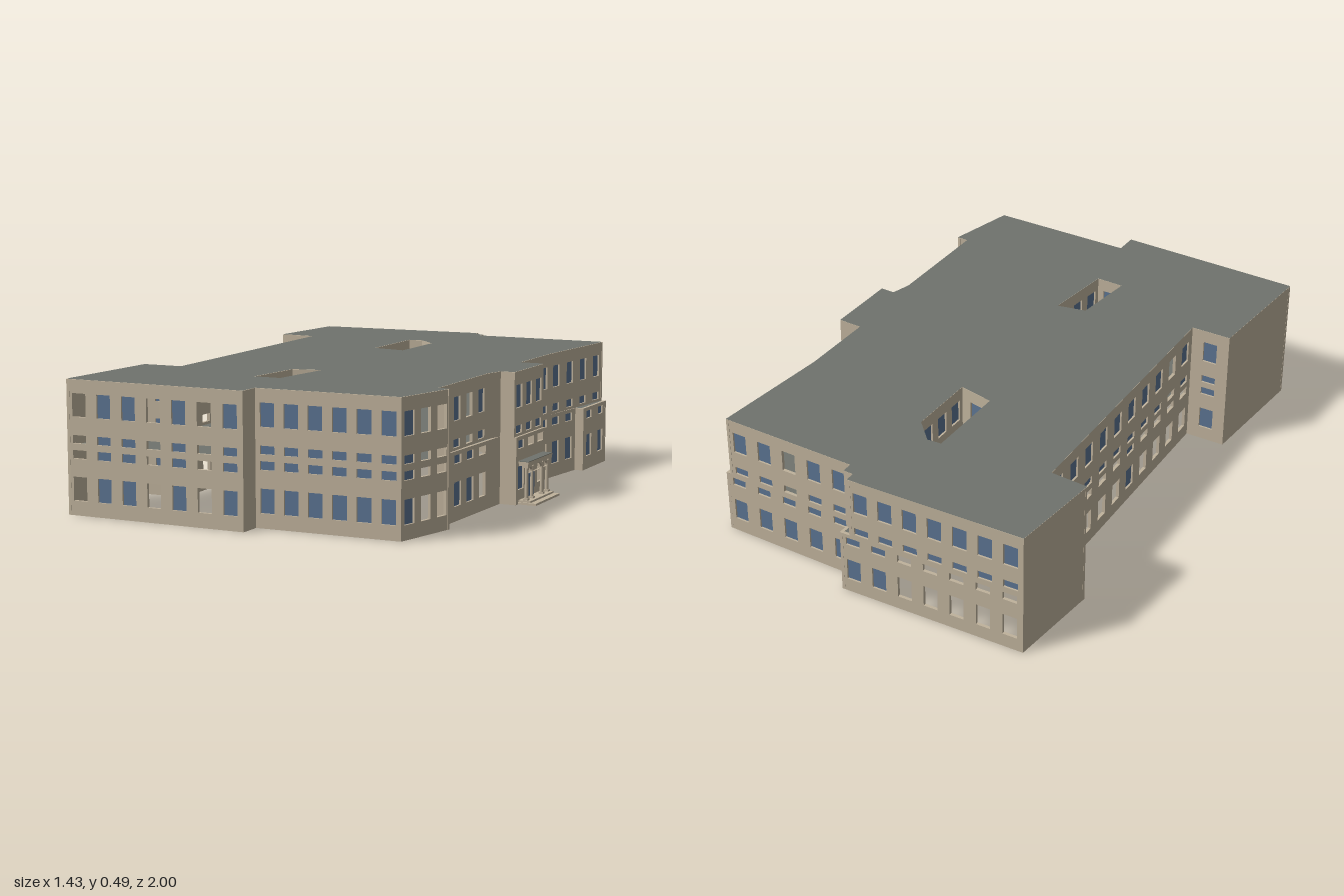
import * as THREE from 'three';

const material = (name, color, side = THREE.FrontSide) => {
  const m = new THREE.MeshStandardMaterial({ color, side });
  m.name = name;
  return m;
};

const T = 0.012;             // wall thickness
const MID = 0.25, TOP = 0.49; // floor slab and roof heights

// Window rows per storey: [bottom, top]
const LOWER_ROWS = [[0.053, 0.14], [0.205, 0.236]];
const UPPER_ROWS = [[0.26, 0.29], [0.355, 0.44]];

// Footprints: [x, z, window columns of the wall starting here]
// g = glazed, o = open, . = blank
const LOWER = [
  [-0.72, 0.995, 'oggogog'], [-0.005, 0.99, ''], [-0.005, 0.905, 'gggggg'],
  [0.545, 0.89, 'goo'], [0.605, 0.63, ''], [0.563, 0.63, 'oggo.'],
  [0.578, 0.125, ''], [0.642, 0.125, 'goo'], [0.642, -0.155, ''],
  [0.54, -0.155, 'oog'], [0.54, -0.45, 'gg'], [0.565, -0.67, ''],
  [0.6, -0.67, 'gg'], [0.6, -0.925, 'ggggg'], [0.04, -0.92, ''],
  [0.04, -1, 'ggooooo'], [-0.69, -0.96, ''], [-0.72, -0.595, 'g'],
  [-0.575, -0.59, 'ooooogoooo'], [-0.54, 0.515, 'g'], [-0.695, 0.52, ''],
];
const UPPER = [
  [-0.72, 0.995, 'oggogog'], [-0.005, 0.99, ''], [-0.005, 0.905, 'gggggg'],
  [0.545, 0.89, 'goo'], [0.605, 0.63, ''], [0.56, 0.63, '.gogg'],
  [0.558, 0.2, ''], [0.578, 0.125, ''], [0.633, 0.125, 'ggg'], [0.633, -0.155, ''],
  [0.54, -0.155, 'ggg'], [0.54, -0.45, 'gggg'], [0.582, -0.925, 'ggogg'],
  [0.04, -0.92, ''], [0.04, -0.96, ''], [0, -0.96, ''],
  [0, -0.998, 'ggggggg'], [-0.69, -0.96, ''], [-0.72, -0.595, 'g'],
  [-0.575, -0.59, 'ggggggggog'], [-0.54, 0.515, 'g'], [-0.695, 0.52, ''],
];
UPPER[5][2] = '.gog'; 

// Courtyards run the other way round so their walls face into the opening
const COURTYARDS = [
  [[-0.155, -0.645, ''], [-0.1, -0.65, 'g'], [-0.02, -0.57, 'ggg'], [-0.02, -0.3, 'g'], [-0.155, -0.325, 'ggg']],
  [[-0.13, 0.405, 'g'], [-0.02, 0.38, 'ggg'], [-0.05, 0.645, 'g'], [-0.155, 0.645, 'ggg']],
];

const rect = (C, x0, x1, y0, y1) => new C([
  new THREE.Vector2(x0, y0), new THREE.Vector2(x1, y0),
  new THREE.Vector2(x1, y1), new THREE.Vector2(x0, y1)]);

export function createModel() {
  const model = new THREE.Group();
  model.name = 'building';
  const stone = material('stone', 0xbfb29c);
  const roofing = material('roofing', 0x6f736d, THREE.DoubleSide);
  const glass = material('glass', 0x5b7391, THREE.DoubleSide);

  const add = (parent, name, geo, mat, x = 0, y = 0, z = 0) => {
    const m = new THREE.Mesh(geo, mat);
    m.name = name;
    m.position.set(x, y, z);
    parent.add(m);
    return m;
  };

  // One straight wall with window openings and recessed panes
  function wall(name, a, b, y0, y1, rows) {
    const dx = b[0] - a[0], dz = b[1] - a[1], len = Math.hypot(dx, dz);
    const g = new THREE.Group();
    g.name = name;
    g.position.set(a[0], 0, a[1]);
    g.rotation.y = Math.atan2(-dz, dx);
    const shape = rect(THREE.Shape, 0, len, y0, y1);
    const step = len / a[2].length, half = Math.min(0.028, step * 0.3);
    [...a[2]].forEach((kind, i) => {
      if (kind === '.') return;
      const u = (i + 0.5) * step;
      for (const [r0, r1] of rows) {
        shape.holes.push(rect(THREE.Path, u - half, u + half, r0, r1));
        if (kind === 'g') {
          add(g, 'windowPane', new THREE.PlaneGeometry(half * 2, r1 - r0), glass, u, (r0 + r1) / 2, -T * 0.6);
        }
      }
    });
    add(g, 'wallPanel', new THREE.ExtrudeGeometry(shape, { depth: T, bevelEnabled: false }), stone, 0, 0, -T);
    model.add(g);
  }

  const ring = (name, pts, y0, y1, rows) =>
    pts.forEach((p, i) => wall(name, p, pts[(i + 1) % pts.length], y0, y1, rows));

  // Horizontal sheet from a footprint
  const outline = (pts) => pts.map(([x, z]) => new THREE.Vector2(x, -z));
  function sheet(name, pts, y, holes = []) {
    const shape = new THREE.Shape(outline(pts));
    for (const h of holes) shape.holes.push(new THREE.Path(outline(h)));
    add(model, name, new THREE.ShapeGeometry(shape).rotateX(-Math.PI / 2), roofing, 0, y, 0);
  }

  // Storeys, floor and roof
  ring('lowerWall', LOWER, 0, MID, LOWER_ROWS);
  ring('upperWall', UPPER, MID, TOP - 0.001, UPPER_ROWS);
  COURTYARDS.forEach((c) => ring('courtyardWall', c, MID, TOP - 0.001, UPPER_ROWS));
  sheet('floor', LOWER, MID - 0.0005);
  sheet('roof', UPPER, TOP, COURTYARDS);

  // Entrance porch
  const porch = new THREE.Group();
  porch.name = 'porch';
  porch.position.z = -0.013;
  model.add(porch);
  const box = (name, x0, x1, y0, y1, z0, z1, mat = stone) => add(porch, name,
    new THREE.BoxGeometry(x1 - x0, y1 - y0, z1 - z0), mat, (x0 + x1) / 2, (y0 + y1) / 2, (z0 + z1) / 2);
  box('step', 0.64, 0.713, 0, 0.008, -0.118, 0.118);
  box('landing', 0.64, 0.69, 0.008, 0.015, -0.112, 0.112);
  box('porchBeam', 0.64, 0.678, 0.142, 0.152, -0.112, 0.112);
  box('porchCornice', 0.64, 0.682, 0.152, 0.159, -0.118, 0.118);
  box('porchRoof', 0.64, 0.682, 0.159, 0.161, -0.118, 0.118, roofing);
  box('door', 0.641, 0.646, 0.015, 0.1, -0.03, 0.03, glass);
  for (const z of [-0.1, -0.048, 0.048, 0.1]) {
    add(porch, 'column', new THREE.CylinderGeometry(0.006, 0.007, 0.12, 12), stone, 0.668, 0.078, z);
    box('columnBase', 0.659, 0.677, 0.015, 0.022, z - 0.009, z + 0.009);
    box('columnCapital', 0.659, 0.677, 0.135, 0.142, z - 0.009, z + 0.009);
  }
  // Arches between the columns
  for (const [z0, z1] of [[-0.1, -0.048], [-0.048, 0.048], [0.048, 0.1]]) {
    const r = (z1 - z0) / 2 - 0.006, ry = Math.min(r, 0.024);
    const s = rect(THREE.Shape, z0, z1, 0.114, 0.142);
    const arch = new THREE.Path();
    arch.absellipse((z0 + z1) / 2, 0.1145, r, ry, 0, Math.PI, false, 0);
    s.holes.push(arch);
    const m = add(porch, 'arch', new THREE.ExtrudeGeometry(s, { depth: 0.008, bevelEnabled: false }), stone, 0.664, 0, 0);
    m.rotation.y = Math.PI / 2;
  }
  return model;
}
